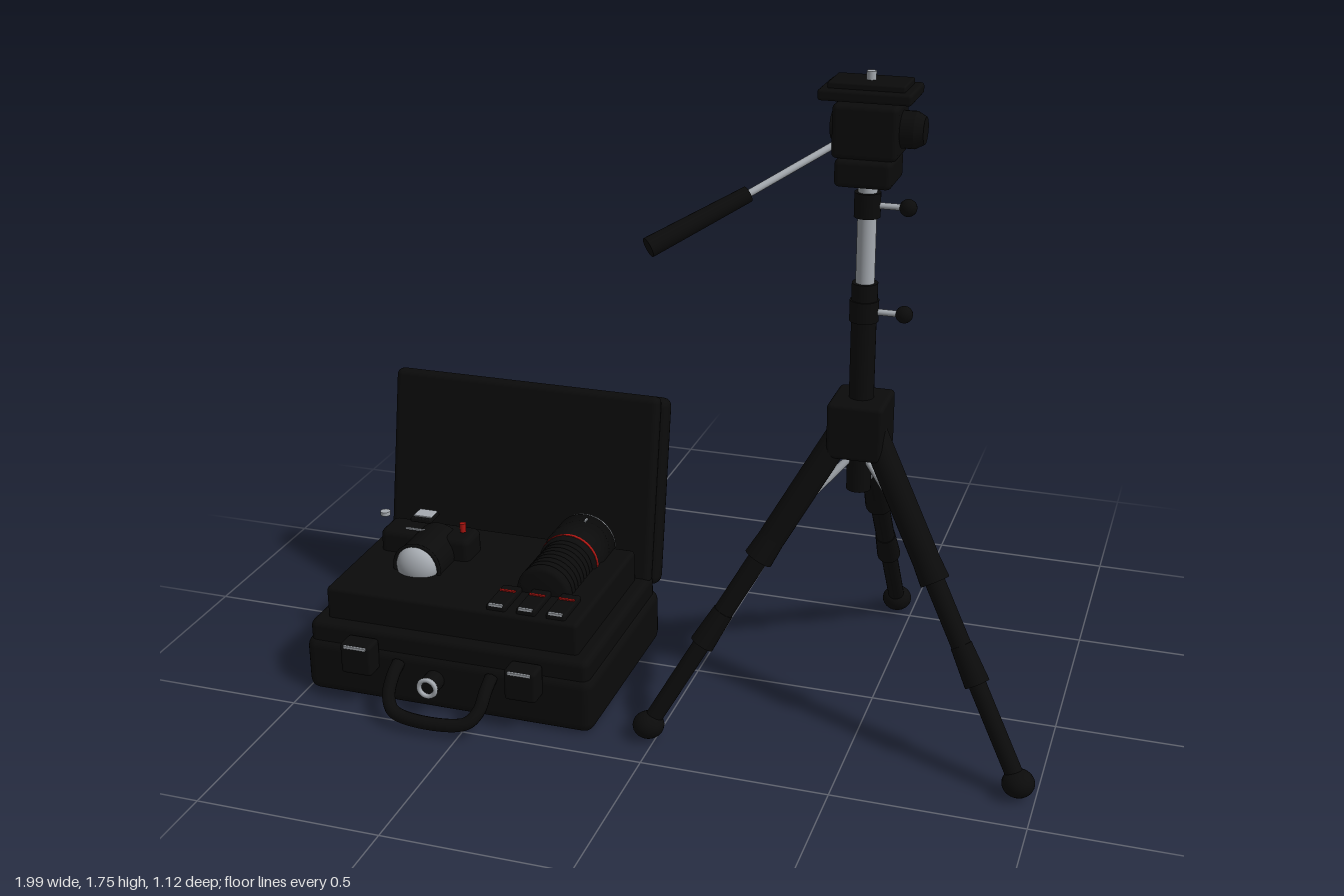
import * as THREE from 'three';
import { RoundedBoxGeometry } from 'three/addons/geometries/RoundedBoxGeometry.js';

const mat = (name, color) => Object.assign(new THREE.MeshStandardMaterial({ color }), { name });
const V = (x, y, z) => new THREE.Vector3(x, y, z);

export function createModel() {
  const black = mat('black', 0x0b0b0b);
  const silver = mat('silver', 0xa6abb1);
  const red = mat('red', 0xa81410);
  const model = new THREE.Group();
  model.name = 'cameraKit';
  const group = (name) => {
    const g = new THREE.Group();
    g.name = name;
    model.add(g);
    return g;
  };
  const add = (parent, name, geo, m, x = 0, y = 0, z = 0) => {
    const mesh = new THREE.Mesh(geo, m);
    mesh.name = name;
    mesh.position.set(x, y, z);
    parent.add(mesh);
    return mesh;
  };
  const box = (p, name, m, w, h, d, x, y, z, r = 0.01) =>
    add(p, name, new RoundedBoxGeometry(w, h, d, 2, r), m, x, y, z);
  // Cylinder running between two points
  const rod = (p, name, m, a, b, r0, r1 = r0, seg = 20) => {
    const dir = b.clone().sub(a);
    const mesh = add(p, name, new THREE.CylinderGeometry(r1, r0, dir.length(), seg), m);
    mesh.position.copy(a).lerp(b, 0.5);
    mesh.quaternion.setFromUnitVectors(V(0, 1, 0), dir.normalize());
    return mesh;
  };

  // ---------- Tripod ----------
  const tripod = group('tripod');
  const cx = 0.46, cz = 0.08;
  const post = (name, m, y0, y1, r) => rod(tripod, name, m, V(cx, y0, cz), V(cx, y1, cz), r);
  post('centreColumn', black, 0.66, 1.14, 0.032);
  post('extensionTube', silver, 1.1, 1.49, 0.024);
  post('lowerClamp', black, 1.17, 1.22, 0.033);
  post('lowerClampBase', black, 1.12, 1.175, 0.037);
  post('upperClamp', black, 1.39, 1.453, 0.033);
  for (const y of [1.145, 1.42]) {
    rod(tripod, 'clampScrew', silver, V(cx + 0.03, y, cz), V(0.555, y, cz), 0.008);
    add(tripod, 'clampKnob', new THREE.SphereGeometry(0.022, 16, 12), black, 0.562, y, cz);
  }
  box(tripod, 'crown', black, 0.145, 0.15, 0.157, cx, 0.84, cz, 0.012);

  // Three telescopic legs with collars, braces and round feet
  for (const [fx, fz] of [[-0.018, 0.38], [0.955, 0.368], [0.455, -0.525]]) {
    const foot = V(fx, 0.04, fz);
    const out = V(fx - cx, 0, fz - cz).normalize();
    const top = V(cx, 0.83, cz).addScaledVector(out, 0.045);
    const at = (t) => top.clone().lerp(foot, t);
    const leg = new THREE.Group();
    leg.name = 'leg';
    tripod.add(leg);
    rod(leg, 'upperLeg', black, at(0), at(0.36), 0.036);
    rod(leg, 'upperCollar', black, at(0.33), at(0.43), 0.034, 0.039);
    rod(leg, 'middleLeg', black, at(0.42), at(0.64), 0.026);
    rod(leg, 'lowerCollar', black, at(0.61), at(0.72), 0.028, 0.033);
    rod(leg, 'lowerLeg', black, at(0.7), at(0.99), 0.023);
    add(leg, 'foot', new THREE.SphereGeometry(0.042, 20, 14), black, fx, 0.041, fz).scale.y = 0.85;
    rod(leg, 'brace', silver, V(cx, 0.745, cz).addScaledVector(out, 0.03),
      V(cx, 0.62, cz).addScaledVector(out, 0.165), 0.01);
  }

  // Pan and tilt head
  const head = group('tripodHead');
  box(head, 'panBase', black, 0.143, 0.07, 0.148, cx, 1.512, cz, 0.014);
  box(head, 'tiltBody', black, 0.163, 0.135, 0.135, cx, 1.613, cz, 0.014);
  box(head, 'platformPlate', black, 0.23, 0.028, 0.157, cx, 1.702, cz, 0.008);
  box(head, 'quickReleasePlate', black, 0.19, 0.018, 0.115, cx, 1.722, cz, 0.005);
  rod(head, 'mountScrew', silver, V(cx, 1.725, cz), V(cx, 1.752, cz), 0.012);
  rod(head, 'tiltKnob', black, V(0.53, 1.615, cz), V(0.575, 1.615, cz), 0.046);
  rod(head, 'tiltKnobCap', black, V(0.575, 1.615, cz), V(0.597, 1.615, cz), 0.046, 0.034);
  rod(head, 'sideCap', black, V(0.368, 1.615, cz), V(0.39, 1.615, cz), 0.036);
  const h0 = V(0.4, 1.585, 0.11), h1 = V(0.213, 1.48, 0.282), h2 = V(0.02, 1.38, 0.455);
  rod(head, 'panRod', silver, h0, h1, 0.009);
  rod(head, 'panGrip', black, h1, h2, 0.02, 0.025);

  // ---------- Hard case ----------
  const kit = group('hardCase');
  const kx = -0.581;
  box(kit, 'caseBase', black, 0.834, 0.16, 0.577, kx, 0.08, 0.131, 0.03);
  box(kit, 'caseRim', black, 0.81, 0.08, 0.55, kx, 0.17, 0.133, 0.02);
  box(kit, 'foamInsert', black, 0.73, 0.11, 0.47, kx, 0.245, 0.14, 0.012);
  const lid = group('caseLid');
  lid.position.set(kx, 0.18, -0.14);
  lid.rotation.x = -0.19;
  box(lid, 'lidShell', black, 0.834, 0.545, 0.062, 0, 0.265, -0.02, 0.025);
  box(lid, 'lidInner', black, 0.805, 0.545, 0.045, 0, 0.275, 0.026, 0.018);
  for (const x of [-0.82, -0.345]) {
    box(kit, 'latch', black, 0.09, 0.09, 0.06, x, 0.145, 0.44, 0.01);
    box(kit, 'latchPin', silver, 0.065, 0.009, 0.008, x, 0.182, 0.47, 0.002);
  }
  const grip = new THREE.CatmullRomCurve3([
    [-0.135, 0.13, 0.42], [-0.135, 0.11, 0.46], [-0.13, 0.07, 0.5], [-0.1, 0.042, 0.527],
    [0.1, 0.042, 0.527], [0.13, 0.07, 0.5], [0.135, 0.11, 0.46], [0.135, 0.13, 0.42],
  ].map(([x, y, z]) => V(kx + x, y, z)));
  add(kit, 'carryHandle', new THREE.TubeGeometry(grip, 48, 0.018, 10), black);
  rod(kit, 'lockBody', black, V(-0.612, 0.095, 0.41), V(-0.612, 0.095, 0.465), 0.028);
  add(kit, 'lockRing', new THREE.TorusGeometry(0.024, 0.007, 8, 24), silver, -0.612, 0.095, 0.468);

  // ---------- Long lens lying in the insert ----------
  const lens = group('longLens');
  lens.position.set(-0.367, 0.3, 0);
  const profile = [[0, -0.095], [0.09, -0.095], [0.09, 0.0], [0.084, 0.01], [0.084, 0.05]];
  for (let i = 0; i < 8; i++) { // knurled grip rings
    const z = 0.055 + i * 0.022;
    profile.push([0.072, z], [0.078, z + 0.004], [0.078, z + 0.016], [0.072, z + 0.02]);
  }
  profile.push([0.066, 0.24], [0, 0.24]);
  const barrel = add(lens, 'lensBarrel',
    new THREE.LatheGeometry(profile.map(([r, z]) => new THREE.Vector2(r, z)), 32), black);
  barrel.rotation.x = Math.PI / 2;
  rod(lens, 'redRing', red, V(0, 0, 0.03), V(0, 0, 0.039), 0.0855, 0.0855, 32);
  rod(lens, 'rearMount', silver, V(0, 0, -0.103), V(0, 0, -0.095), 0.088, 0.088, 32);
  box(lens, 'indexMark', silver, 0.006, 0.006, 0.022, 0.016, 0.089, -0.06, 0.001);

  // Three small battery cartridges
  for (const x of [-0.452, -0.367, -0.282]) {
    box(kit, 'cartridge', black, 0.055, 0.06, 0.125, x, 0.285, 0.3, 0.006);
    box(kit, 'cartridgeStripe', red, 0.045, 0.006, 0.008, x, 0.316, 0.275, 0.001);
    box(kit, 'cartridgeContact', silver, 0.04, 0.008, 0.008, x, 0.314, 0.358, 0.001);
  }

  // ---------- Camera resting in the insert ----------
  const camera = group('camera');
  box(camera, 'cameraBody', black, 0.27, 0.1, 0.1, -0.77, 0.315, 0.07, 0.02);
  rod(camera, 'cameraLens', black, V(-0.748, 0.31, 0.06), V(-0.748, 0.31, 0.212), 0.07, 0.07, 28);
  const dome = add(camera, 'frontElement',
    new THREE.SphereGeometry(0.06, 28, 10, 0, Math.PI * 2, 0, Math.PI / 2), silver, -0.748, 0.318, 0.212);
  dome.rotation.x = Math.PI / 2;
  dome.scale.y = 0.65;
  add(camera, 'lensRim', new THREE.TorusGeometry(0.066, 0.006, 8, 32), black, -0.748, 0.312, 0.214);
  box(camera, 'hotShoe', black, 0.06, 0.012, 0.062, -0.748, 0.438, 0.147, 0.003);
  box(camera, 'hotShoePlate', silver, 0.052, 0.009, 0.045, -0.748, 0.443, 0.143, 0.002);
  rod(camera, 'shutterDial', silver, V(-0.862, 0.434, 0.16), V(-0.862, 0.445, 0.16), 0.014);
  rod(camera, 'recordButton', red, V(-0.667, 0.372, 0.078), V(-0.667, 0.398, 0.078), 0.009);
  box(camera, 'modeLever', silver, 0.06, 0.006, 0.008, -0.8, 0.372, 0.105, 0.002);
  return model;
}
